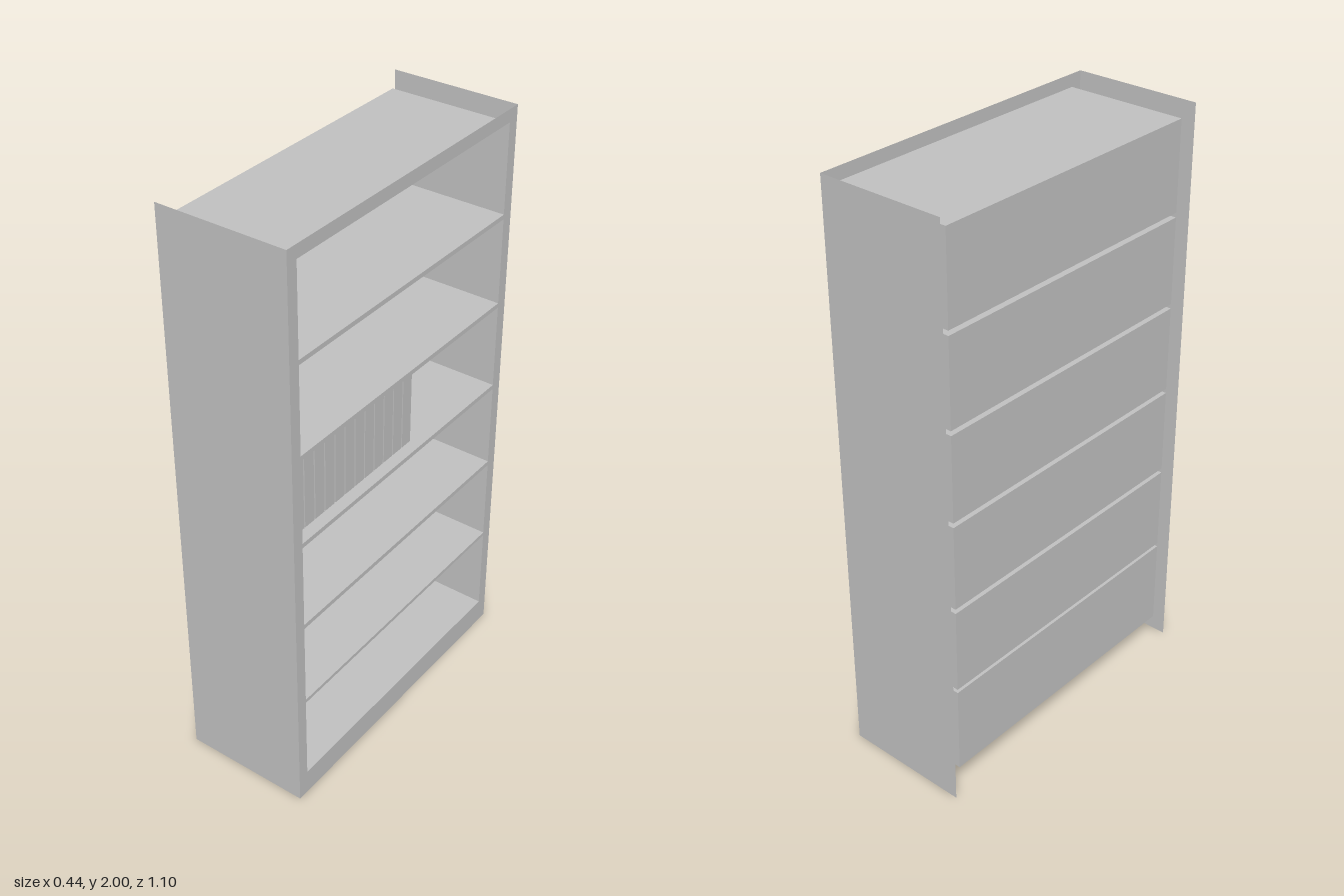
import * as THREE from 'three';

const FRONT = 0.22, BACK = -0.2, HEIGHT = 2, HALF_W = 0.55, INNER_W = 0.51;

// Bottom and top height of each compartment
const COMPARTMENTS = [
  [0.09, 0.398], [0.411, 0.705], [0.721, 1.016],
  [1.032, 1.326], [1.342, 1.639], [1.655, 1.957],
];

export function createModel() {
  const model = new THREE.Group();
  model.name = 'bookcase';
  const grey = new THREE.MeshStandardMaterial({ color: 0xc0c0c0, side: THREE.DoubleSide });
  grey.name = 'light grey';

  function add(parent, name, geometry, x, y, z) {
    const mesh = new THREE.Mesh(geometry, grey);
    mesh.name = name;
    mesh.position.set(x, y, z);
    parent.add(mesh);
    return mesh;
  }

  // Face frame: a flat sheet with one opening per compartment
  const face = new THREE.Shape([
    new THREE.Vector2(-HALF_W, 0), new THREE.Vector2(HALF_W, 0),
    new THREE.Vector2(HALF_W, HEIGHT), new THREE.Vector2(-HALF_W, HEIGHT),
  ]);
  for (const [y0, y1] of COMPARTMENTS) {
    face.holes.push(new THREE.Path([
      new THREE.Vector2(-INNER_W, y0), new THREE.Vector2(-INNER_W, y1),
      new THREE.Vector2(INNER_W, y1), new THREE.Vector2(INNER_W, y0),
    ]));
  }
  add(model, 'faceFrame', new THREE.ShapeGeometry(face), FRONT, 0, 0).rotation.y = Math.PI / 2;

  // Outer side panels: thin sheets
  for (const side of [1, -1]) {
    const panel = new THREE.PlaneGeometry(FRONT * 2, HEIGHT);
    if (side < 0) panel.rotateY(Math.PI);
    add(model, side > 0 ? 'frontSidePanel' : 'backSidePanel', panel, 0, HEIGHT / 2, side * HALF_W);
  }

  // Compartments: box shells without the face towards the opening
  const shelves = new THREE.Group();
  shelves.name = 'compartments';
  model.add(shelves);
  COMPARTMENTS.forEach(([y0, y1], i) => {
    const shell = new THREE.BoxGeometry(FRONT - BACK, y1 - y0, INNER_W * 2);
    shell.setIndex(Array.from(shell.index.array).slice(6));
    shell.clearGroups();
    add(shelves, `compartment${i + 1}`, shell, (FRONT + BACK) / 2, (y0 + y1) / 2, 0);
  });

  // Row of books on the fourth shelf
  const books = new THREE.Group();
  books.name = 'books';
  model.add(books);
  const bookShape = new THREE.BoxGeometry(0.25, 0.262, 0.044);
  for (let i = 0; i < 12; i++) {
    add(books, `book${i + 1}`, bookShape, 0.055, 1.032 + 0.131, 0.472 - i * 0.049);
  }
  return model;
}
